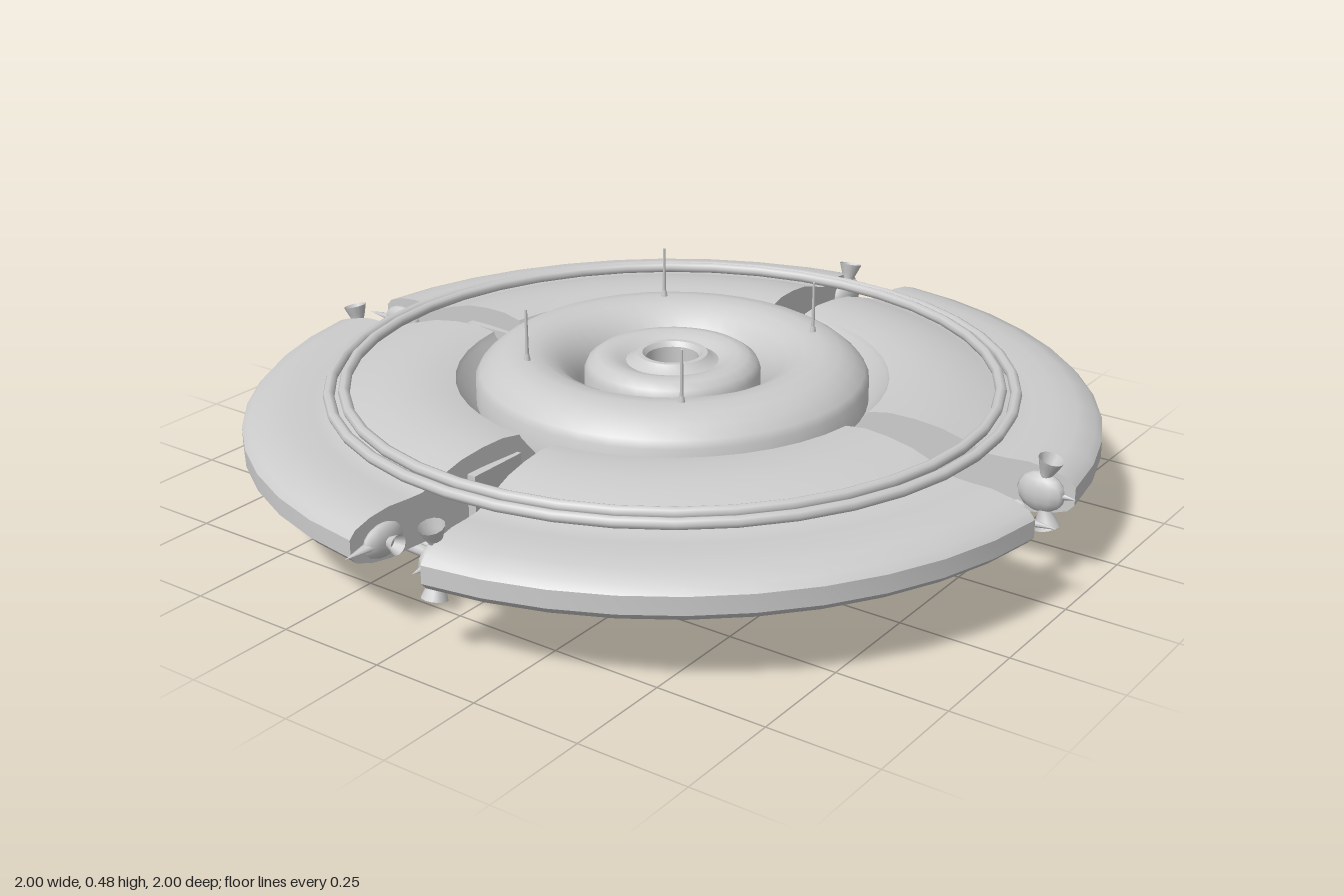
import * as THREE from 'three';
import { toCreasedNormals } from 'three/addons/utils/BufferGeometryUtils.js';

const MID = 0.21; // height of the disc's mirror plane
const grey = new THREE.MeshStandardMaterial({ color: 0xcccccc });
const greyBoth = new THREE.MeshStandardMaterial({ color: 0xcccccc, side: THREE.DoubleSide });

function add(parent, name, geometry, x = 0, y = 0, z = 0, material = grey) {
  const mesh = new THREE.Mesh(geometry, material);
  mesh.name = name;
  mesh.position.set(x, y, z);
  parent.add(mesh);
  return mesh;
}

// Upper half profile [radius, height above MID], outside to inside, mirrored below and closed
function closedProfile(upper) {
  const top = upper.map(([r, h]) => new THREE.Vector2(r, MID + h));
  const bottom = upper.filter(([, h]) => h > 0).reverse().map(([r, h]) => new THREE.Vector2(r, MID - h));
  const points = [...top, ...bottom];
  return [...points, points[0].clone()];
}

function revolve(points, segments, start = 0, length = Math.PI * 2) {
  return toCreasedNormals(new THREE.LatheGeometry(points, segments, start, length), 0.6);
}

// Small rocket bell: narrow throat at the base, open flared mouth along +y
function bell(length, throat, mouth) {
  const points = [[throat, 0], [throat * 1.1, length * 0.3], [mouth * 0.75, length * 0.65], [mouth, length]];
  return new THREE.LatheGeometry(points.map(([r, y]) => new THREE.Vector2(r, y)), 12);
}

// Thin flat spike pointing along +x
function spike(length, halfWidth, halfHeight) {
  const g = new THREE.ConeGeometry(1, length, 8);
  g.rotateZ(-Math.PI / 2);
  g.scale(1, halfHeight, halfWidth);
  return g;
}

function pod(name, lx, ly, lz) {
  const g = new THREE.Group();
  g.name = name;
  const ball = new THREE.SphereGeometry(1, 12, 8);
  ball.scale(lx, ly, lz);
  add(g, 'thrusterBody', ball);
  return g;
}

function makeQuarter() {
  const q = new THREE.Group();
  q.name = 'hullQuarter';

  // Curved hull sector with flat ends
  const profile = closedProfile([
    [0.965, 0.02], [0.95, 0.036], [0.91, 0.05], [0.86, 0.057], [0.81, 0.055], [0.77, 0.055],
    [0.72, 0.072], [0.66, 0.09], [0.6, 0.098], [0.54, 0.1], [0.49, 0.092], [0.485, 0.082], [0.445, 0.035],
  ]);
  const start = 0.096, length = Math.PI / 2 - 2 * start;
  add(q, 'hullSector', revolve(profile, 10, start, length));
  for (const phi of [start, start + length]) {
    const cap = add(q, 'sectorEnd', new THREE.ShapeGeometry(new THREE.Shape(profile)), 0, 0, 0, greyBoth);
    cap.rotation.y = phi - Math.PI / 2;
  }

  // Side hatch facing the gap
  add(q, 'sideHatch', new THREE.BoxGeometry(0.15, 0.11, 0.02), 0.57, MID, 0.048);

  // Vertical thruster: bells above and below
  const lift = pod('verticalThruster', 0.026, 0.045, 0.055);
  lift.position.set(0.078, MID, 0.89);
  for (const s of [1, -1]) {
    const b = add(lift, 'thrusterBell', bell(0.055, 0.012, 0.028), 0, s * 0.025, 0.005, greyBoth);
    b.rotation.x = s > 0 ? 0.25 : Math.PI - 0.25;
  }
  const nose = add(lift, 'thrusterNose', spike(0.06, 0.014, 0.014), 0, 0, 0.05);
  nose.rotation.y = -Math.PI / 2;
  q.add(lift);

  // Outward thruster: bell into the gap and a flat spike
  const push = pod('outwardThruster', 0.055, 0.036, 0.02);
  push.position.set(0.89, MID, 0.07);
  add(push, 'thrusterSpike', spike(0.09, 0.018, 0.012), 0.065, 0, 0);
  const side = add(push, 'thrusterBell', bell(0.035, 0.01, 0.022), 0, 0, -0.005, greyBoth);
  side.rotation.x = -Math.PI / 2;
  q.add(push);

  // Landing foot under the middle of the sector
  const foot = new THREE.Group();
  foot.name = 'landingFoot';
  foot.position.set(0.415, 0, 0.415);
  foot.rotation.y = -Math.PI / 4;
  const bracket = new THREE.CylinderGeometry(0.085, 0.06, 0.08, 4, 1);
  bracket.rotateY(Math.PI / 4);
  add(foot, 'footBracket', toCreasedNormals(bracket, 0.5), 0, 0.095, 0);
  add(foot, 'footStem', new THREE.CylinderGeometry(0.015, 0.015, 0.04, 10), 0, 0.045, 0);
  add(foot, 'footCollar', new THREE.CylinderGeometry(0.045, 0.018, 0.018, 12), 0, 0.03, 0);
  add(foot, 'footTip', new THREE.SphereGeometry(0.016, 10, 8), 0, 0.016, 0);
  q.add(foot);
  return q;
}

export function createModel() {
  const model = new THREE.Group();
  model.name = 'flyingDisc';

  // Four identical hull quarters around the axis
  for (let i = 0; i < 4; i++) {
    const q = makeQuarter();
    q.rotation.y = i * Math.PI / 2;
    model.add(q);
  }

  // Thick central ring
  add(model, 'centralRing', revolve(closedProfile([
    [0.445, 0], [0.445, 0.09], [0.435, 0.106], [0.41, 0.128], [0.38, 0.145], [0.34, 0.152], [0.3, 0.147],
    [0.265, 0.13], [0.235, 0.1], [0.217, 0.065], [0.21, 0.03],
  ]), 40));

  // Hub with a dished top and a hole through the middle
  add(model, 'hub', revolve(closedProfile([
    [0.2, 0], [0.2, 0.1], [0.192, 0.118], [0.172, 0.132], [0.15, 0.135], [0.125, 0.128], [0.105, 0.118],
    [0.092, 0.124], [0.08, 0.136], [0.068, 0.136], [0.06, 0.125], [0.06, 0.05],
  ]), 32));

  // Paired rail rings above and below
  for (const s of [1, -1]) {
    for (const [radius, h] of [[0.772, 0.078], [0.738, 0.085]]) {
      const rail = add(model, 'railRing', new THREE.TorusGeometry(radius, 0.013, 8, 40), 0, MID + s * h, 0);
      rail.rotation.x = Math.PI / 2;
    }
  }

  // Four thin masts on the central ring
  for (const x of [-0.26, 0.26]) {
    for (const z of [-0.21, 0.21]) {
      add(model, 'mast', new THREE.CylinderGeometry(0.003, 0.005, 0.13, 6), x, 0.415, z);
      add(model, 'mastBase', new THREE.CylinderGeometry(0.005, 0.009, 0.02, 8), x, 0.365, z);
    }
  }
  return model;
}
